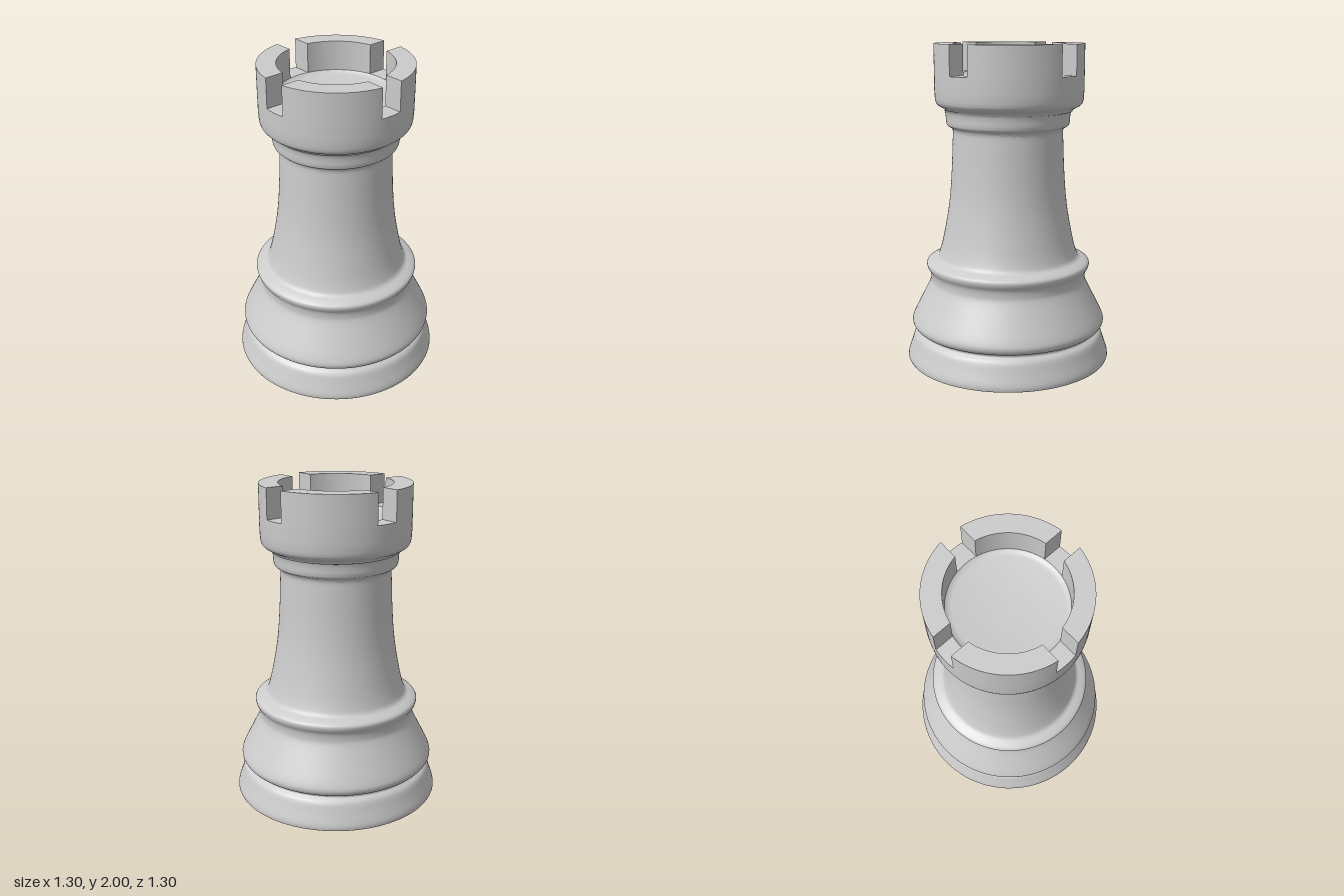
import * as THREE from 'three';
import { toCreasedNormals } from 'three/addons/utils/BufferGeometryUtils.js';

const material = new THREE.MeshStandardMaterial({ color: 0xcccccc });
const SEGMENTS = 96;
const vec = ([r, y]) => new THREE.Vector2(r, y);

function addMesh(parent, name, geometry) {
  const mesh = new THREE.Mesh(toCreasedNormals(geometry, 0.7), material);
  mesh.name = name;
  parent.add(mesh);
  return mesh;
}

// Turned parts: straight points, then a smooth curve, then straight points
function turned(before, curve, after = []) {
  const smooth = new THREE.SplineCurve(curve.map(vec)).getPoints(curve.length * 3);
  return new THREE.LatheGeometry([...before.map(vec), ...smooth, ...after.map(vec)], SEGMENTS);
}

export function createModel() {
  const model = new THREE.Group();
  model.name = 'chessRook';

  // Foot, rings and shaft, with a round hollow underneath
  addMesh(model, 'body', turned(
    [[0, 0.6], [0.39, 0.6], [0.39, 0], [0.645, 0]],
    [
      [0.65, 0.012], [0.646, 0.04], [0.625, 0.1], [0.607, 0.155], [0.592, 0.175],
      [0.573, 0.188], [0.577, 0.203], [0.603, 0.217], [0.618, 0.245], [0.608, 0.285],
      [0.55, 0.4], [0.503, 0.495], [0.495, 0.53], [0.499, 0.57], [0.516, 0.6],
      [0.518, 0.63], [0.485, 0.65], [0.453, 0.665], [0.435, 0.7], [0.409, 0.8],
      [0.373, 1.0], [0.355, 1.2], [0.346, 1.4], [0.344, 1.465], [0.354, 1.487],
      [0.378, 1.502], [0.385, 1.525], [0.387, 1.56], [0.393, 1.59], [0.405, 1.605],
    ],
  ));

  // Crown sits very slightly off the axis of the shaft
  const crown = new THREE.Group();
  crown.name = 'crown';
  crown.position.set(0.006, 0, -0.006);
  model.add(crown);

  const outer = 0.463, inner = 0.347, halfSlot = 0.07, slotY = 1.815;

  // Cup with a sunken floor
  addMesh(crown, 'cup', turned(
    [[0.36, 1.58]],
    [[0.393, 1.59], [0.405, 1.606], [0.436, 1.622], [0.453, 1.64], [0.46, 1.665]],
    [[outer, 1.72], [outer, slotY], [inner, slotY], [0.335, 1.803], [0.31, 1.798], [0, 1.798]],
  ));

  // Four battlements separated by straight-sided slots
  const a = Math.asin(halfSlot / outer), b = Math.asin(halfSlot / inner);
  const shape = new THREE.Shape();
  shape.absarc(0, 0, outer, a, Math.PI / 2 - a, false);
  shape.absarc(0, 0, inner, Math.PI / 2 - b, b, true);
  shape.closePath();
  for (let i = 0; i < 4; i++) {
    const block = new THREE.ExtrudeGeometry(shape, {
      depth: 2 - slotY, bevelEnabled: false, curveSegments: 24,
    });
    block.rotateX(-Math.PI / 2);
    block.rotateY(i * Math.PI / 2);
    block.translate(0, slotY, 0);
    addMesh(crown, 'battlement' + (i + 1), block);
  }

  return model;
}
